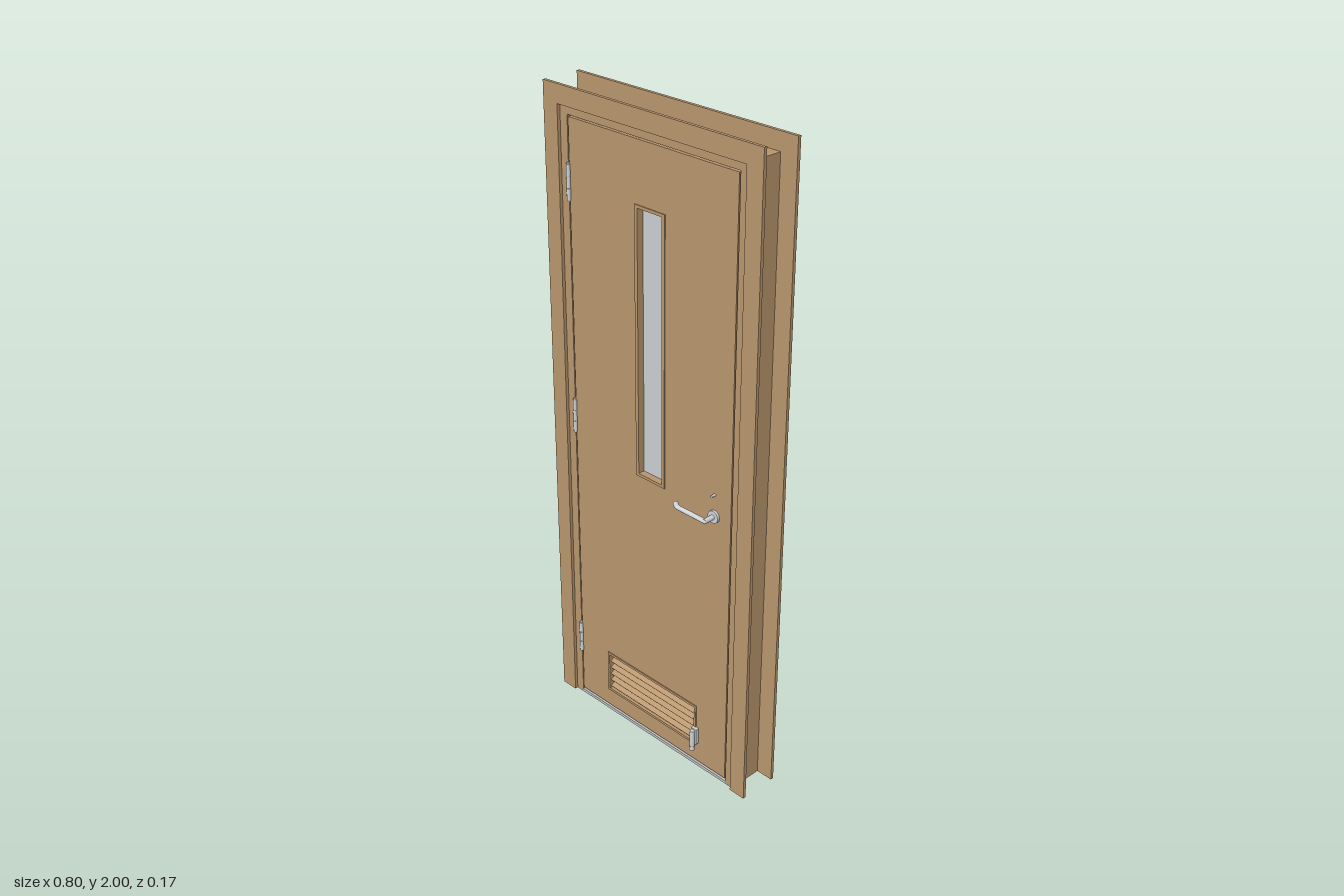
import * as THREE from 'three';

const wood = new THREE.MeshStandardMaterial({ color: 0xb8956d, name: 'wood' });
const metal = new THREE.MeshStandardMaterial({ color: 0xcfd3d6, name: 'brushed metal' });
const sill = new THREE.MeshStandardMaterial({ color: 0xc0c2c2, name: 'threshold grey' });
const glass = new THREE.MeshStandardMaterial({ color: 0xcbcfd1, name: 'glass' });

const DOOR_BACK = -0.008, DOOR_FRONT = 0.035, DOOR_MID = (DOOR_BACK + DOOR_FRONT) / 2;

export function createModel() {
  const model = new THREE.Group();
  model.name = 'door';

  const add = (name, geometry, material, x = 0, y = 0, z = 0, parent = model) => {
    const mesh = new THREE.Mesh(geometry, material);
    mesh.name = name;
    mesh.position.set(x, y, z);
    parent.add(mesh);
    return mesh;
  };
  const polygon = (pts) => new THREE.Shape(pts.map(([x, y]) => new THREE.Vector2(x, y)));
  const rectangle = (x0, y0, x1, y1) => polygon([[x0, y0], [x1, y0], [x1, y1], [x0, y1]]);
  // Flat shape extruded between two depths
  const slab = (name, shape, z0, z1, material = wood) =>
    add(name, new THREE.ExtrudeGeometry(shape, { depth: z1 - z0, bevelEnabled: false }), material, 0, 0, z0);
  // Upside-down U around the opening
  const surround = (xo, yo, xi, yi) =>
    polygon([[-xo, 0], [-xi, 0], [-xi, yi], [xi, yi], [xi, 0], [xo, 0], [xo, yo], [-xo, yo]]);
  const ring = (xo, y0, y1, bx, by) => {
    const shape = rectangle(-xo, y0, xo, y1);
    shape.holes.push(rectangle(-xo + bx, y0 + by, xo - bx, y1 - by));
    return shape;
  };

  // Frame lining and the stop the leaf closes against
  slab('jamb', surround(0.345, 1.948, 0.317, 1.92), -0.077, 0.035);
  slab('doorStopStrip', surround(0.318, 1.921, 0.303, 1.906), -0.026, -0.009);

  // Mitred casings on both sides of the wall
  for (const [side, z0] of [['front', 0.035], ['back', -0.087]]) {
    for (const s of [-1, 1]) {
      slab(side + 'SideCasing',
        polygon([[s * 0.345, 0], [s * 0.4, 0], [s * 0.4, 2], [s * 0.345, 1.945]]), z0, z0 + 0.01);
    }
    slab(side + 'HeadCasing',
      polygon([[-0.345, 1.945], [0.345, 1.945], [0.4, 2], [-0.4, 2]]), z0, z0 + 0.01);
  }

  // Threshold
  add('threshold', new THREE.BoxGeometry(0.634, 0.01, 0.112), sill, 0, 0.005, -0.021);

  // Leaf with openings for the vision panel and the vent
  const leaf = rectangle(-0.313, 0.019, 0.313, 1.915);
  leaf.holes.push(rectangle(-0.052, 0.923, 0.052, 1.732));
  leaf.holes.push(rectangle(-0.187, 0.084, 0.187, 0.217));
  slab('doorLeaf', leaf, DOOR_BACK, DOOR_FRONT);

  // Vision panel
  slab('windowBead', ring(0.057, 0.918, 1.737, 0.011, 0.009), DOOR_BACK - 0.003, DOOR_FRONT + 0.003);
  add('windowGlass', new THREE.BoxGeometry(0.1, 0.812, 0.006), glass, 0, 1.3275, DOOR_MID);

  // Vent with slats sloping down to the front
  slab('ventFrame', ring(0.193, 0.078, 0.223, 0.008, 0.008), DOOR_BACK - 0.003, DOOR_FRONT + 0.003);
  for (let i = 0; i < 5; i++) {
    const slat = add('ventSlat', new THREE.BoxGeometry(0.374, 0.003, 0.044), wood, 0, 0.103 + i * 0.0238, DOOR_MID);
    slat.rotation.x = 0.56;
  }

  // Hinges: three knuckles and pin caps each
  for (const y of [0.222, 1.015, 1.732]) {
    const hinge = new THREE.Group();
    hinge.name = 'hinge';
    hinge.position.set(-0.315, y, 0.038);
    model.add(hinge);
    for (const k of [-1, 0, 1]) {
      add('hingeKnuckle', new THREE.CylinderGeometry(0.006, 0.006, 0.034, 16), metal, 0, k * 0.035, 0, hinge);
    }
    add('hingePin', new THREE.CylinderGeometry(0.004, 0.004, 0.112, 12), metal, 0, 0, 0, hinge);
  }

  // Lever handle, rose and lock on each face
  for (const s of [1, -1]) {
    const face = s > 0 ? DOOR_FRONT : DOOR_BACK;
    const handle = new THREE.Group();
    handle.name = s > 0 ? 'frontHandle' : 'backHandle';
    handle.position.set(0.252, 0.912, face);
    model.add(handle);
    add('rose', new THREE.CylinderGeometry(0.019, 0.019, 0.008, 28), metal, 0, 0, s * 0.004, handle)
      .rotation.x = Math.PI / 2;
    add('handleNeck', new THREE.CylinderGeometry(0.0075, 0.0075, 0.042, 16), metal, 0, 0, s * 0.021, handle)
      .rotation.x = Math.PI / 2;
    const path = new THREE.CurvePath();
    const points = [[0.003, 0.039], [-0.108, 0.039], [-0.125, 0.027]].map(([x, z]) => new THREE.Vector3(x, 0, s * z));
    path.add(new THREE.LineCurve3(points[0], points[1]));
    path.add(new THREE.LineCurve3(points[1], points[2]));
    add('leverGrip', new THREE.TubeGeometry(path, 40, 0.008, 14), metal, 0, 0, 0, handle).scale.y = 0.8;
    for (const p of [points[0], points[2]]) {
      add('leverEnd', new THREE.SphereGeometry(0.008, 14, 10), metal, p.x, 0, p.z, handle).scale.set(0.6, 0.8, 1);
    }
  }
  add('lockCylinder', new THREE.CylinderGeometry(0.004, 0.004, 0.016, 14), metal, 0.252, 0.98, DOOR_FRONT + 0.006)
    .rotation.x = Math.PI / 2;

  // Door holder beside the vent: mounting block, arm and foot
  const holder = new THREE.Group();
  holder.name = 'doorHolder';
  holder.position.set(0.193, 0.107, DOOR_FRONT);
  model.add(holder);
  add('holderPlate', new THREE.BoxGeometry(0.021, 0.055, 0.012), metal, 0, 0.01, 0.006, holder);
  add('holderArm', new THREE.CylinderGeometry(0.0075, 0.0075, 0.058, 16), metal, 0, 0.004, 0.017, holder);
  add('holderFoot', new THREE.CylinderGeometry(0.009, 0.009, 0.014, 16), metal, 0, -0.03, 0.017, holder);

  return model;
}
